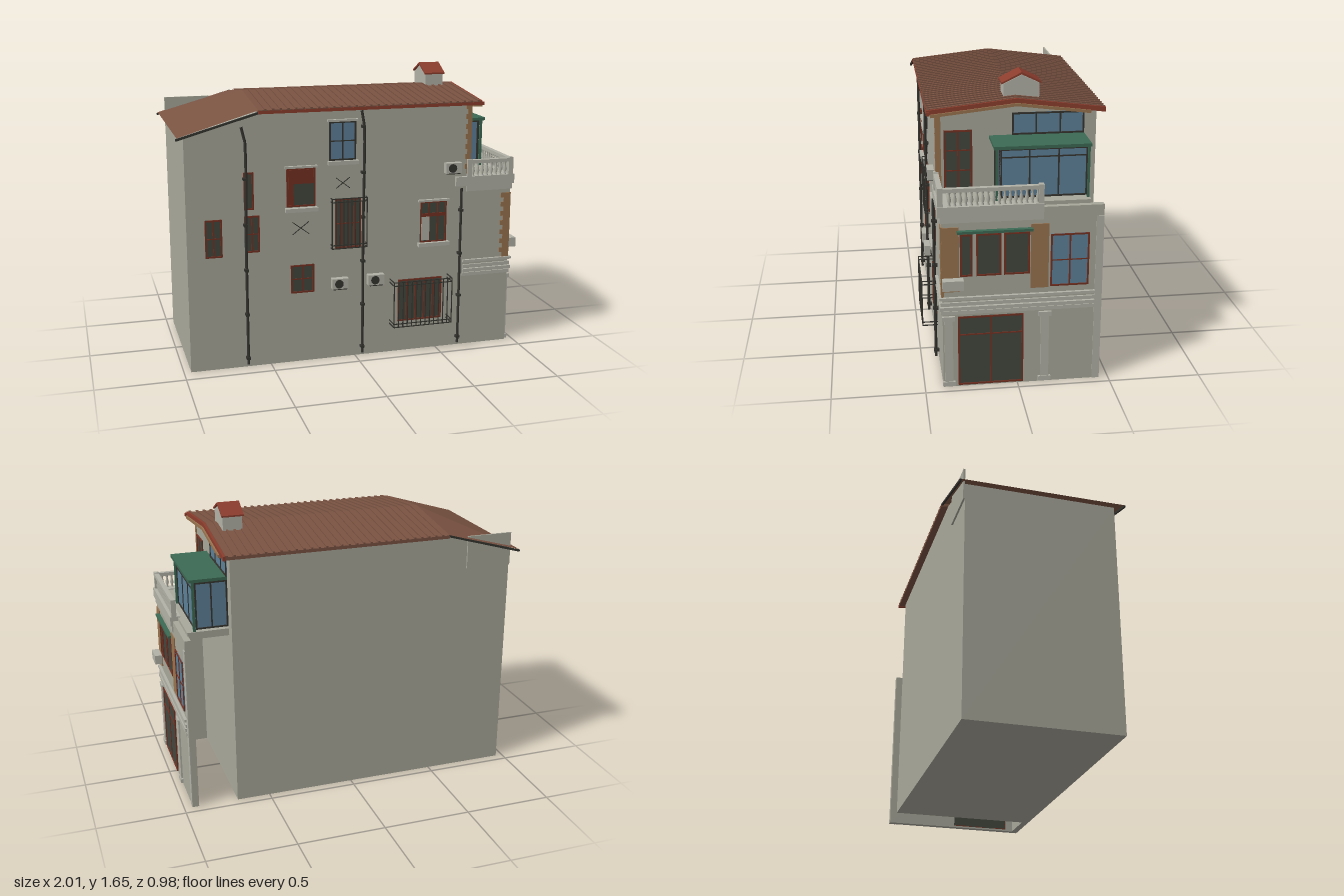
import * as THREE from 'three';

const mat = (name, color, side = THREE.FrontSide) => {
  const m = new THREE.MeshStandardMaterial({ color, side });
  m.name = name;
  return m;
};

export function createModel() {
  const wall = mat('plaster', 0xa9a89b), trim = mat('stone trim', 0xb3b2a7);
  const roof = mat('brown roof', 0x7a5342, THREE.DoubleSide), red = mat('red tile', 0x8c3d2d);
  const wood = mat('red wood', 0x743122), dark = mat('dark glass', 0x43463d);
  const blue = mat('blue glass', 0x5d8098), green = mat('green metal', 0x3c6a54);
  const tan = mat('tan brick', 0x98734f), metal = mat('dark metal', 0x35342f);

  const house = new THREE.Group();
  house.name = 'house';
  const add = (parent, name, geo, m) => {
    const mesh = new THREE.Mesh(geo, m);
    mesh.name = name;
    parent.add(mesh);
    return mesh;
  };
  const box = (parent, name, m, x0, x1, y0, y1, z0, z1) => {
    const b = add(parent, name, new THREE.BoxGeometry(x1 - x0, y1 - y0, z1 - z0), m);
    b.position.set((x0 + x1) / 2, (y0 + y1) / 2, (z0 + z1) / 2);
    return b;
  };
  const group = (name, x, z, turn = 0) => {
    const g = new THREE.Group();
    g.name = name;
    g.position.set(x, 0, z);
    g.rotation.y = turn;
    house.add(g);
    return g;
  };
  const poly = (pts) => new THREE.Shape(pts.map(([a, b]) => new THREE.Vector2(a, b)));
  const extrude = (shape, depth) => new THREE.ExtrudeGeometry(shape, { depth, bevelEnabled: false });

  // Framed window on the local z = 0 plane, with cols x rows panes
  const win = (p, name, u0, u1, y0, y1, cols, rows, glass, frame, back = -0.004) => {
    const t = 0.009, o = 0.008;
    box(p, name + 'Glass', glass, u0, u1, y0, y1, back, 0.003);
    for (const u of [u0, u1 - t]) box(p, name + 'Jamb', frame, u, u + t, y0, y1, back, o);
    for (const y of [y0, y1 - t]) box(p, name + 'Rail', frame, u0 + t, u1 - t, y, y + t, back, o);
    for (let i = 1; i < cols; i++) {
      const u = u0 + (u1 - u0) * i / cols;
      box(p, name + 'Mullion', frame, u - 0.004, u + 0.004, y0, y1, 0, 0.007);
    }
    for (let i = 1; i < rows; i++) {
      const y = y0 + (y1 - y0) * i / rows;
      box(p, name + 'Transom', frame, u0, u1, y - 0.003, y + 0.003, 0, 0.006);
    }
  };

  // Main body: long walls following the roof, plus the gable top
  add(house, 'mainBody', extrude(poly([[-0.96, 0], [0.69, 0], [0.69, 1.455], [-0.56, 1.455], [-0.96, 1.345]]), 0.85), wall)
    .position.z = -0.45;
  const gable = add(house, 'gableTop', extrude(poly([[-0.4, 1.45], [0.45, 1.45], [0.02, 1.507]]), 1.24), wall);
  gable.rotation.y = Math.PI / 2;
  gable.position.x = -0.55;
  box(house, 'frontReturnWall', wall, 0.69, 0.92, 0, 1.0, 0.36, 0.4);
  box(house, 'rearParapet', wall, -0.96, -0.69, 1.25, 1.44, -0.46, -0.45);

  // Gabled roof with standing ribs, sloping end and red edges
  const chevron = (name, m, x0, x1, lift, thick, f = 0.45, b = 0.49) => {
    const yf = 1.53 - 0.05 * (f + 0.02) / 0.47 + lift, yb = 1.53 - 0.06 * (b - 0.02) / 0.47 + lift;
    const g = add(house, name, extrude(poly([[-f, yf - thick], [0.02, 1.53 + lift - thick], [b, yb - thick],
      [b, yb], [0.02, 1.53 + lift], [-f, yf]]), x1 - x0), m);
    g.rotation.y = Math.PI / 2;
    g.position.x = x0;
  };
  chevron('roofSlab', roof, -0.56, 0.72, -0.004, 0.018);
  chevron('roofVerge', red, 0.72, 0.733, 0, 0.026);
  chevron('gableMoulding', tan, 0.69, 0.742, -0.023, 0.016, 0.43, 0.41);
  for (let i = 0; i < 30; i++) {
    const x = -0.52 + i * 0.0425;
    chevron('roofRib', roof, x - 0.006, x + 0.006, 0.003, 0.008);
  }
  box(house, 'frontEave', red, -0.56, 0.745, 1.455, 1.472, 0.435, 0.452);
  const end = new THREE.BufferGeometry();
  end.setAttribute('position', new THREE.Float32BufferAttribute([
    -0.56, 1.476, 0.45, -0.56, 1.526, -0.02, -0.56, 1.466, -0.49, -1, 1.345, 0.45, -1, 1.345, -0.49], 3));
  end.setIndex([0, 1, 3, 1, 4, 3, 1, 2, 4]);
  const endFlat = end.toNonIndexed();
  endFlat.computeVertexNormals();
  add(house, 'slopingEndRoof', endFlat, roof);
  for (const z of [0.445, -0.485]) {
    const edge = box(house, 'endRoofEdge', metal, -0.235, 0.235, -0.006, 0.006, -0.005, 0.005);
    edge.position.set(-0.78, 1.398, z);
    edge.rotation.z = Math.atan2(0.125, 0.44);
  }

  // Chimney with its own little roof
  const chimney = group('chimney', 0.54, 0, Math.PI / 2);
  add(chimney, 'chimneyBody', extrude(poly([[-0.04, 1.48], [0.15, 1.48], [0.15, 1.59], [0.055, 1.635], [-0.04, 1.59]]), 0.11), trim);
  add(chimney, 'chimneyRoof', extrude(poly([[-0.05, 1.588], [0.055, 1.638], [0.16, 1.588], [0.16, 1.597],
    [0.055, 1.65], [-0.05, 1.597]]), 0.125), red).position.z = -0.008;

  // Long side windows
  const side = group('longSide', 0, 0.4);
  win(side, 'slimWindow', -0.86, -0.765, 0.66, 0.875, 2, 2, dark, wood);
  win(side, 'upperSlimWindow', -0.64, -0.585, 0.92, 1.13, 1, 1, dark, wood);
  win(side, 'lowerSlimWindow', -0.64, -0.555, 0.675, 0.885, 2, 2, dark, wood);
  win(side, 'upperWindow', -0.4, -0.235, 0.92, 1.14, 1, 1, dark, wood);
  box(side, 'upperWindowPanel', wood, -0.39, -0.245, 1.05, 1.13, 0.003, 0.007);
  box(side, 'upperWindowPanel', wood, -0.39, -0.36, 0.93, 1.05, 0.003, 0.007);
  win(side, 'smallWindow', -0.38, -0.245, 0.415, 0.58, 2, 2, dark, wood);
  win(side, 'stairWindow', -0.155, 0, 1.17, 1.39, 2, 2, blue, metal);
  win(side, 'barredWindow', -0.12, 0.03, 0.66, 0.95, 4, 2, dark, wood);
  win(side, 'casement', 0.39, 0.55, 0.655, 0.9, 3, 1, dark, wood);
  box(side, 'casementHead', wood, 0.4, 0.54, 0.81, 0.83, 0.003, 0.008);
  box(side, 'casementShutter', trim, 0.395, 0.445, 0.67, 0.81, 0.003, 0.009);
  win(side, 'wideWindow', 0.26, 0.53, 0.185, 0.44, 5, 1, dark, wood);
  for (const [u0, u1, y0, y1] of [[-0.41, -0.225, 0.905, 1.14], [-0.165, 0.01, 1.16, 1.39], [0.375, 0.565, 0.647, 0.9]]) {
    box(side, 'sill', trim, u0, u1, y0 - 0.012, y0 + 0.01, 0, 0.03);
    box(side, 'lintel', trim, u0, u1, y1, y1 + 0.012, 0, 0.02);
  }
  // Crossed vents
  for (const [u, y, r] of [[-0.075, 1.04, 0.05], [-0.32, 0.795, 0.06]])
    for (const a of [0.65, -0.65]) {
      const bar = box(side, 'ventCross', metal, -r, r, -0.002, 0.002, 0, 0.004);
      bar.position.set(u, y, 0.002);
      bar.rotation.z = a;
    }
  // Projecting window cages
  const cage = (u0, u1, y0, y1, d, n) => {
    const r = 0.0025;
    for (let i = 0; i <= n; i++) {
      const u = u0 + (u1 - u0) * i / n;
      box(side, 'cageBar', metal, u - r, u + r, y0, y1, d - r, d + r);
    }
    for (const y of [y0, y0 + 0.02, y1 - 0.02, y1]) {
      box(side, 'cageRail', metal, u0, u1, y - r, y + r, d - r, d + r);
      for (const u of [u0, u1]) box(side, 'cageArm', metal, u - r, u + r, y - r, y + r, 0, d);
    }
  };
  cage(-0.145, 0.06, 0.665, 0.955, 0.03, 9);
  cage(0.21, 0.565, 0.178, 0.45, 0.085, 13);

  // Air conditioners
  for (const [u, y] of [[-0.1, 0.46], [0.115, 0.465], [0.575, 1.095]]) {
    box(side, 'airConditioner', trim, u - 0.048, u + 0.048, y - 0.03, y + 0.03, 0.008, 0.045);
    const fan = add(side, 'fan', new THREE.CylinderGeometry(0.025, 0.025, 0.004, 16), metal);
    fan.rotation.x = Math.PI / 2;
    fan.position.set(u - 0.008, y, 0.047);
    box(side, 'bracket', metal, u - 0.04, u + 0.04, y - 0.035, y - 0.03, 0, 0.045);
  }
  // Drainpipes with clamps
  for (const [x, top, bend] of [[-0.635, 1.385, -0.015], [0.04, 1.45, -0.012], [0.635, 0.97, 0]]) {
    const path = new THREE.CatmullRomCurve3([[x, 0.02], [x, top * 0.5], [x, top - 0.04], [x + bend, top]]
      .map(([a, b]) => new THREE.Vector3(a, b, 0.018)));
    add(side, 'drainpipe', new THREE.TubeGeometry(path, 16, 0.008, 8), metal);
    for (let y = 0.05; y < top - 0.05; y += 0.26) box(side, 'pipeClamp', metal, x - 0.011, x + 0.011, y, y + 0.015, 0, 0.029);
  }

  // Street facade: thin wall pierced by door and windows (local u is -z)
  const facade = group('facade', 0.95, 0, Math.PI / 2);
  const front = poly([[-0.4, 0], [0.45, 0], [0.45, 1.01], [-0.4, 1.01]]);
  const openings = [[-0.32, 0.03, 0.01, 0.415], [-0.305, -0.24, 0.645, 0.88], [-0.22, -0.09, 0.645, 0.88],
    [-0.075, 0.06, 0.645, 0.88], [0.17, 0.375, 0.565, 0.86]];
  for (const [a, b, c, d] of openings) front.holes.push(new THREE.Path([[a, c], [a, d], [b, d], [b, c]].map((p) => new THREE.Vector2(...p))));
  add(facade, 'facadeWall', extrude(front, 0.035), wall).position.z = -0.035;
  openings.forEach(([a, b, c, d], i) =>
    win(facade, i ? 'facadeWindow' : 'streetDoor', a, b, c, d, i === 0 || i === 4 ? 2 : 1, i === 4 ? 2 : 1, i === 4 ? blue : dark, wood, -0.02));
  box(facade, 'doorTransom', wood, -0.32, 0.03, 0.305, 0.312, 0, 0.007);
  box(facade, 'windowAwning', green, -0.32, 0.075, 0.888, 0.902, 0, 0.025);
  box(facade, 'brickPanel', tan, -0.4, -0.31, 0.56, 0.92, 0, 0.006);
  box(facade, 'brickPanel', tan, 0.065, 0.16, 0.56, 0.92, 0, 0.006);
  box(facade, 'edgeStrip', trim, 0.41, 0.45, 0, 0.95, 0, 0.004);
  for (const u of [-0.37, 0.145]) {
    box(facade, 'pilaster', trim, u - 0.022, u + 0.022, 0.03, 0.4, 0, 0.01);
    for (const y of [0.01, 0.395]) box(facade, 'pilasterEnd', trim, u - 0.034, u + 0.034, y, y + 0.025, 0, 0.014);
  }
  box(facade, 'facadeAirConditioner', trim, -0.4, -0.29, 0.585, 0.64, 0.006, 0.05);

  // Cornice bands wrapping the street corner
  [[0.43, 0.45, 0.008], [0.455, 0.475, 0.014], [0.48, 0.5, 0.01], [0.515, 0.53, 0.016]].forEach(([y0, y1, d]) => {
    box(house, 'cornice', trim, 0.66, 0.95 + d, y0, y1, 0.39, 0.4 + d);
    box(house, 'cornice', trim, 0.94, 0.95 + d, y0, y1, -0.41, 0.39);
  });
  // Toothed brick quoins
  for (let i = 0; i < 14; i++) {
    const y = 0.53 + i * 0.028, w = i % 2 ? 0.06 : 0.042;
    box(house, 'quoin', tan, 0.952 - w, 0.952, y, y + 0.028, 0.39, 0.405);
    const v = 1.05 + i * 0.029;
    box(house, 'upperQuoin', tan, 0.694 - w * 0.6, 0.694, v, v + 0.029, 0.375, 0.405);
  }

  // Balcony floor, mouldings and balustrade
  box(house, 'terraceFloor', wall, 0.69, 0.92, 0.99, 1.03, -0.385, 0.4);
  box(house, 'balconyMoulding', trim, 0.67, 0.957, 0.945, 0.982, 0.13, 0.408);
  box(house, 'balconyMoulding', trim, 0.915, 0.957, 0.945, 0.982, -0.13, 0.13);
  box(house, 'balconySlab', trim, 0.6, 0.965, 0.98, 1.035, 0.36, 0.42);
  box(house, 'balconySlab', trim, 0.905, 0.965, 0.98, 1.035, -0.13, 0.36);
  box(house, 'handrail', trim, 0.67, 0.957, 1.11, 1.13, 0.39, 0.417);
  box(house, 'handrail', trim, 0.93, 0.957, 1.11, 1.13, -0.13, 0.39);
  const baluster = new THREE.LatheGeometry([[0.009, 0], [0.005, 0.012], [0.011, 0.03], [0.005, 0.058], [0.009, 0.077]]
    .map((p) => new THREE.Vector2(...p)), 8);
  for (let i = 0; i < 17; i++) add(house, 'baluster', baluster, trim).position.set(0.943, 1.034, -0.1 + i * 0.0285);
  for (let i = 0; i < 8; i++) add(house, 'baluster', baluster, trim).position.set(0.71 + i * 0.0285, 1.034, 0.403);
  for (const [x, z] of [[0.943, 0.403], [0.943, -0.118], [0.684, 0.403]])
    box(house, 'balconyPost', trim, x - 0.014, x + 0.014, 1.03, 1.135, z - 0.014, z + 0.014);

  // Upper gable wall: balcony door and high window
  const upper = group('gableEnd', 0.69, 0, Math.PI / 2);
  win(upper, 'balconyDoor', -0.36, -0.21, 1.03, 1.36, 2, 3, dark, wood);
  win(upper, 'highWindow', 0, 0.385, 1.325, 1.445, 3, 1, blue, metal);

  // Glazed sunroom with green roof
  const glazing = group('sunroomFront', 0.87, 0, Math.PI / 2);
  win(glazing, 'sunroomFront', -0.085, 0.37, 1.04, 1.305, 3, 1, blue, metal);
  box(glazing, 'sunroomHead', metal, -0.085, 0.37, 1.255, 1.262, 0, 0.007);
  const near = group('sunroomSide', 0, 0.085);
  win(near, 'sunroomSide', 0.69, 0.87, 1.04, 1.305, 2, 1, blue, metal);
  const far = group('sunroomRear', 0, -0.37, Math.PI);
  win(far, 'sunroomRear', -0.87, -0.69, 1.04, 1.305, 2, 1, blue, metal);
  box(house, 'sunroomRoof', green, 0.69, 0.9, 1.308, 1.325, -0.385, 0.12);
  for (const z of [0.105, -0.375]) box(house, 'sunroomPost', green, 0.872, 0.886, 1.03, 1.31, z - 0.006, z + 0.006);

  return house;
}
